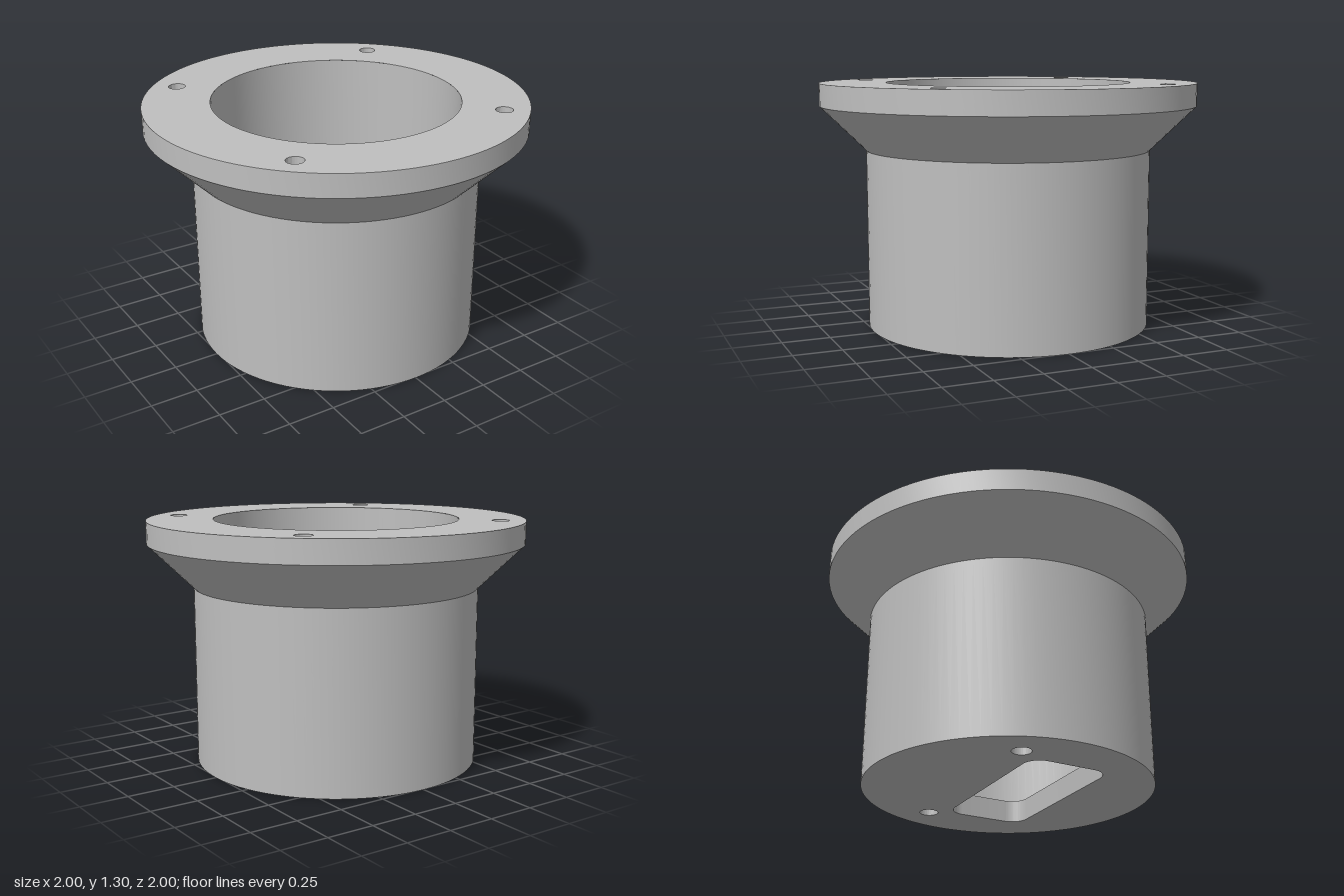
import * as THREE from 'three';
import { toCreasedNormals } from 'three/addons/utils/BufferGeometryUtils.js';

const SEG = 96;
const HEIGHT = 1.3, FLOOR = 0.12, BORE = 0.65, BODY = 0.76;
const BLIND_DEPTH = 0.12, SCREW_R = 0.045, SCREW_POS = 0.614;

const circle = (path, x, y, r) => path.absarc(x, y, r, 0, Math.PI * 2, false);

// Surface of revolution with crisp profile corners
function revolve(profile, segments = SEG) {
  const points = profile.map(([r, y]) => new THREE.Vector2(r, y));
  return toCreasedNormals(new THREE.LatheGeometry(points, segments), 0.5);
}

// Rounded rectangle, drawn in plan (shape y = -z)
function roundedRect(x0, y0, x1, y1, r) {
  const p = new THREE.Path();
  p.absarc(x1 - r, y1 - r, r, 0, Math.PI / 2);
  p.absarc(x0 + r, y1 - r, r, Math.PI / 2, Math.PI);
  p.absarc(x0 + r, y0 + r, r, Math.PI, Math.PI * 1.5);
  p.absarc(x1 - r, y0 + r, r, Math.PI * 1.5, Math.PI * 2);
  p.closePath();
  return p;
}

export function createModel() {
  const group = new THREE.Group();
  const grey = new THREE.MeshStandardMaterial({ color: 0xbfbfbf });
  grey.name = 'grey';

  const add = (name, geometry) => {
    const mesh = new THREE.Mesh(geometry, grey);
    mesh.name = name;
    group.add(mesh);
    return mesh;
  };

  // Outer shell: base ring, cylinder, conical flare and flange rim
  add('outerShell', revolve([[BORE, 0], [BODY, 0], [BODY, 0.945], [1, 1.18], [1, HEIGHT]]));

  // Inside of the cup
  add('boreWall', revolve([[BORE, HEIGHT], [BORE, FLOOR]]));

  // Floor with a rectangular slot and two through holes
  const floor = circle(new THREE.Shape(), 0, 0, BORE);
  floor.holes.push(roundedRect(-0.473, -0.32, 0.473, 0.122, 0.09));
  for (const s of [-1, 1]) floor.holes.push(circle(new THREE.Path(), s * 0.53, 0.21, 0.05));
  const floorGeo = new THREE.ExtrudeGeometry(floor, { depth: FLOOR, bevelEnabled: false, curveSegments: SEG });
  add('floor', toCreasedNormals(floorGeo.rotateX(-Math.PI / 2), 0.5));

  // Flange top face with four blind screw holes
  const top = circle(new THREE.Shape(), 0, 0, 1);
  top.holes.push(circle(new THREE.Path(), 0, 0, BORE));
  const holeGeo = revolve([[SCREW_R, HEIGHT], [SCREW_R, HEIGHT - BLIND_DEPTH], [0, HEIGHT - BLIND_DEPTH]]);
  for (const sx of [-1, 1]) for (const sz of [-1, 1]) {
    top.holes.push(circle(new THREE.Path(), sx * SCREW_POS, sz * SCREW_POS, SCREW_R));
    add('screwHole', holeGeo).position.set(sx * SCREW_POS, 0, sz * SCREW_POS);
  }
  const topGeo = new THREE.ShapeGeometry(top, SEG).rotateX(-Math.PI / 2);
  add('flangeTop', topGeo.translate(0, HEIGHT, 0));

  return group;
}
